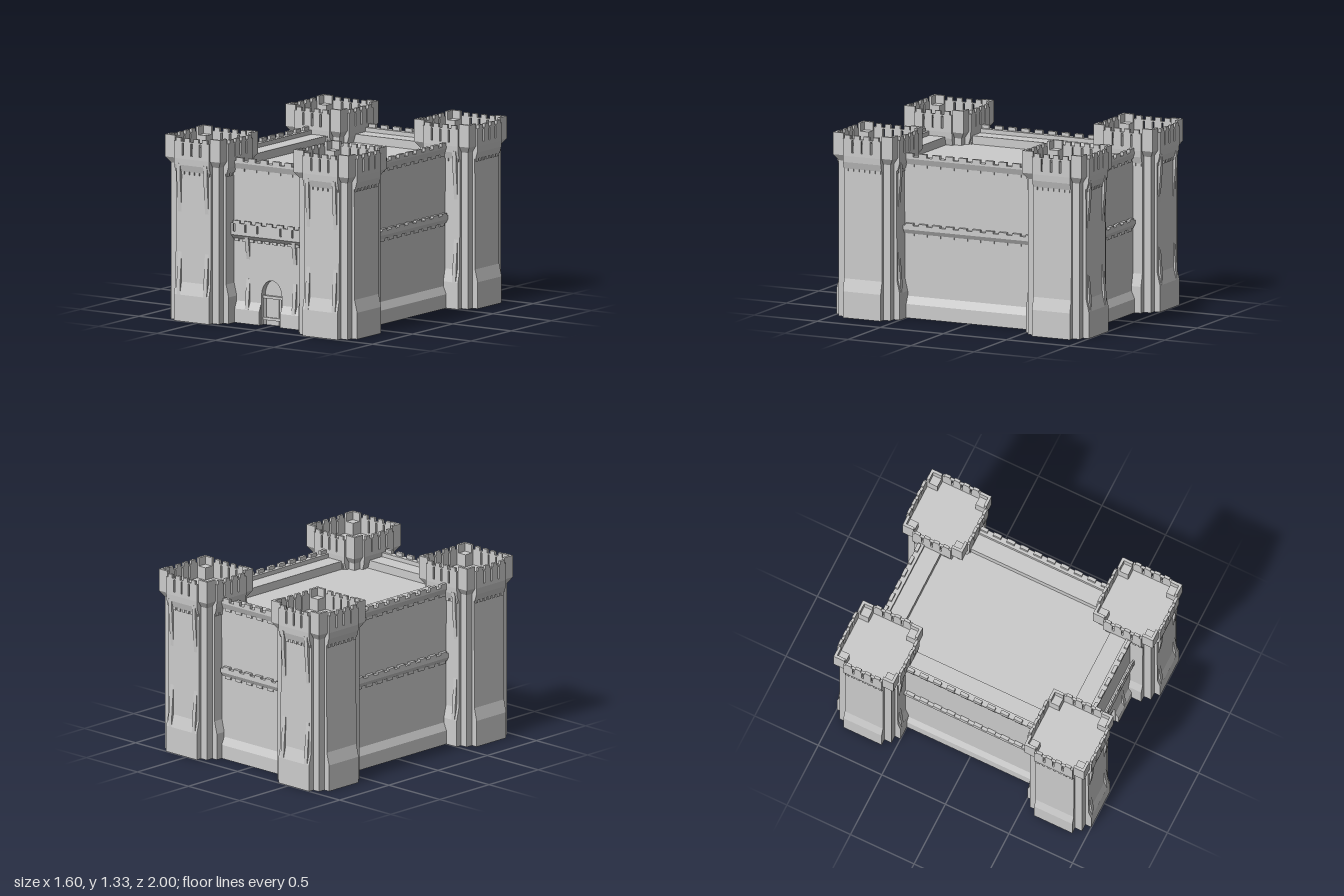
import * as THREE from 'three';

const mat = new THREE.MeshStandardMaterial({ color: 0xcccccc, flatShading: true });
const shellMat = new THREE.MeshStandardMaterial({ color: 0xcccccc, flatShading: true, side: THREE.DoubleSide });

function add(parent, name, geo, x = 0, y = 0, z = 0, m = mat) {
  const mesh = new THREE.Mesh(geo, m);
  mesh.name = name;
  mesh.position.set(x, y, z);
  parent.add(mesh);
  return mesh;
}

const box = (parent, name, w, h, d, x, y, z) => add(parent, name, new THREE.BoxGeometry(w, h, d), x, y, z);

const shapeOf = pts => new THREE.Shape(pts.map(p => new THREE.Vector2(p[0], p[1])));

// Profile of [depth, height] points swept sideways; depth points to +z
function prism(pts, width) {
  const g = new THREE.ExtrudeGeometry(shapeOf(pts), { depth: width, bevelEnabled: false });
  return g.translate(0, 0, -width / 2).rotateY(-Math.PI / 2);
}

// Upright panel with merlons on top and slits cut through
function crenelPanel(w, y0, notch, top, n, slits, slitW, s0, s1, t) {
  const pts = [[-w / 2, y0], [w / 2, y0], [w / 2, notch]];
  const step = w / n;
  for (let i = n - 1; i >= 0; i--) {
    const c = -w / 2 + (i + 0.5) * step, h = step * 0.29;
    pts.push([c + h, notch], [c + h, top], [c - h, top], [c - h, notch]);
  }
  pts.push([-w / 2, notch]);
  const shape = shapeOf(pts);
  for (const x of slits) {
    const a = x - slitW / 2, b = x + slitW / 2;
    shape.holes.push(new THREE.Path([[a, s0], [a, s1], [b, s1], [b, s0]].map(p => new THREE.Vector2(...p))));
  }
  return new THREE.ExtrudeGeometry(shape, { depth: t, bevelEnabled: false });
}

// Small blocks hanging under a corbel
function teeth(parent, w, n, y, h, z, d) {
  for (let i = 0; i < n; i++) {
    box(parent, 'corbelTooth', w / n * 0.55, h, d, -w / 2 + (i + 0.5) * w / n, y + h / 2, z - d / 2);
  }
}

// Corbelled course with merlons, running across a wall
function course(parent, name, w, out, yb, ys, notch, top, n) {
  const wall = out - 0.025, y1 = yb + 0.018;
  add(parent, name + 'Corbel', prism([[wall - 0.02, y1], [wall + 0.008, y1], [out, ys], [out, notch], [wall - 0.02, notch]], w));
  teeth(parent, w, n, yb, 0.02, wall + 0.008, 0.02);
  add(parent, name + 'Merlons', crenelPanel(w, notch - 0.01, notch, top, n, [], 0, 0, 0, 0.025), 0, 0, out - 0.025);
}

// Stepped cross plan: arms 0.30 wide around a square core
function plan(arm, core) {
  const pts = [], h = 0.15;
  const quarter = [[arm, -h], [arm, h], [core, h], [core, core], [h, core]];
  for (let k = 0; k < 4; k++) {
    for (const [x, z] of quarter) {
      pts.push([[x, z], [-z, x], [-x, -z], [z, -x]][k]);
    }
  }
  return pts;
}

function shaftGeometry(levels) {
  const pos = [], idx = [];
  for (const [y, arm, core] of levels) for (const [x, z] of plan(arm, core)) pos.push(x, y, z);
  const n = 20;
  for (let r = 0; r < levels.length - 1; r++) {
    for (let i = 0; i < n; i++) {
      const a = r * n + i, b = r * n + (i + 1) % n;
      idx.push(a, a + n, b, b, a + n, b + n);
    }
  }
  const g = new THREE.BufferGeometry();
  g.setAttribute('position', new THREE.Float32BufferAttribute(pos, 3));
  g.setIndex(idx);
  g.computeVertexNormals();
  return g;
}

function createTower() {
  const tower = new THREE.Group();
  tower.name = 'tower';
  const floorY = 1.175;
  add(tower, 'shaft', shaftGeometry([
    [0, 0.25, 0.205], [0.19, 0.25, 0.205], [0.28, 0.228, 0.205], [1.072, 0.225, 0.205],
    [1.072, 0.233, 0.205], [1.12, 0.247, 0.205], [1.165, 0.25, 0.235], [floorY, 0.25, 0.235]
  ]), 0, 0, 0, shellMat);
  add(tower, 'floor', new THREE.ShapeGeometry(shapeOf(plan(0.25, 0.235))).rotateX(-Math.PI / 2), 0, floorY, 0, shellMat);

  for (let k = 0; k < 4; k++) {
    const side = new THREE.Group();
    side.name = 'towerSide';
    side.rotation.y = k * Math.PI / 2;
    tower.add(side);
    // Parapet with arrow slits
    add(side, 'parapet', crenelPanel(0.3, floorY, 1.29, 1.315, 4, [-0.073, 0, 0.073], 0.014, 1.19, 1.28, 0.02), 0, 0, 0.23);
    teeth(side, 0.3, 7, 1.052, 0.022, 0.233, 0.02);
    // Taller corner parapet around a raised platform
    const corner = [[0.15, 0.235], [0.15, 0.215], [0.215, 0.215], [0.215, 0.15], [0.235, 0.15], [0.235, 0.235]];
    const g = new THREE.ExtrudeGeometry(shapeOf(corner), { depth: 1.325 - floorY, bevelEnabled: false });
    add(side, 'cornerParapet', g.rotateX(-Math.PI / 2), 0, floorY, 0);
    box(side, 'cornerPlatform', 0.065, 0.09, 0.065, 0.1825, floorY + 0.045, 0.1825);
    // Tapering ribs on the front and back faces
    if (k % 2 === 0) {
      for (const x of [-0.115, 0.115]) {
        add(side, 'lowerRib', prism([[0.22, 0.19], [0.25, 0.19], [0.244, 0.3], [0.226, 0.51], [0.22, 0.51]], 0.03), x);
        add(side, 'upperRib', prism([[0.22, 0.78], [0.226, 0.78], [0.244, 1], [0.249, 1.13], [0.22, 1.13]], 0.03), x);
      }
    }
  }
  return tower;
}

// Wall section: battered foot, face, wall walk and inner edge
const wallProfile = out => {
  const f = out - 0.025;
  return [[f - 0.05, 0], [out, 0], [out, 0.1], [f, 0.155], [f, 1.13], [out - 0.17, 1.13], [out - 0.17, 1.07], [f - 0.05, 1.07]];
};

// Arched outline of the gateway
function arch(path, h, spring, top) {
  path.moveTo(h, 0);
  path.lineTo(h, spring);
  path.bezierCurveTo(h, spring + 0.07, h * 0.5, top, 0, top);
  path.bezierCurveTo(-h * 0.5, top, -h, spring + 0.07, -h, spring);
  path.lineTo(-h, 0);
  return path;
}

function createFrontWall(wall) {
  const out = 0.825, face = 0.8;
  for (const s of [-1, 1]) {
    add(wall, 'wallHalf', prism(wallProfile(out), 0.36), s * 0.27);
    // Tapering ribs beside the gate
    add(wall, 'lowerRib', prism([[0.79, 0.1], [0.824, 0.1], [0.815, 0.2], [0.801, 0.32], [0.79, 0.32]], 0.03), s * 0.2);
    add(wall, 'upperRib', prism([[0.79, 0.46], [0.801, 0.46], [0.815, 0.54], [0.825, 0.62], [0.79, 0.62]], 0.03), s * 0.2);
  }
  // Gateway
  const surround = arch(new THREE.Shape(), 0.087, 0.21, 0.325);
  surround.lineTo(-0.09, 0);
  surround.lineTo(-0.09, 1.13);
  surround.lineTo(0.09, 1.13);
  surround.lineTo(0.09, 0);
  add(wall, 'gateSurround', new THREE.ExtrudeGeometry(surround, { depth: 0.05, bevelEnabled: false, curveSegments: 8 }), 0, 0, face - 0.05);
  box(wall, 'wallWalk', 0.18, 0.06, 0.12, 0, 1.1, 0.715);
  add(wall, 'gateBack', new THREE.ShapeGeometry(arch(new THREE.Shape(), 0.09, 0.21, 0.33), 8), 0, 0, 0.752, shellMat);
  for (let i = 0; i < 8; i++) box(wall, 'gatePlank', 0.02, 0.19, 0.012, -0.077 + i * 0.022, 0.095, 0.765);
  for (const y of [0.045, 0.2]) box(wall, 'gateBar', 0.174, 0.02, 0.025, 0, y, 0.77);
  // Gallery with slits
  add(wall, 'gallery', crenelPanel(0.65, 0.63, 0.715, 0.735, 7, [-0.3, -0.2, -0.1, 0.1, 0.2, 0.3], 0.016, 0.655, 0.71, 0.012), 0, 0, 0.823);
  add(wall, 'galleryCorbel', prism([[0.78, 0.6], [0.808, 0.6], [0.835, 0.63], [0.835, 0.635], [0.78, 0.635]], 0.65));
  teeth(wall, 0.65, 10, 0.585, 0.02, 0.815, 0.03);
}

export function createModel() {
  const castle = new THREE.Group();
  castle.name = 'castle';

  // Corner towers
  for (const x of [-0.55, 0.55]) for (const z of [-0.75, 0.75]) {
    const t = createTower();
    t.position.set(x, 0, z);
    castle.add(t);
  }

  // Curtain walls: front, left, back, right
  const specs = [['frontWall', 0.825, 0.62, 6], ['leftWall', 0.6, 1.06, 10], ['backWall', 0.85, 0.62, 6], ['rightWall', 0.6, 1.06, 10]];
  specs.forEach(([name, out, w, n], k) => {
    const wall = new THREE.Group();
    wall.name = name;
    wall.rotation.y = k * Math.PI / 2;
    castle.add(wall);
    if (k === 0) createFrontWall(wall);
    else {
      add(wall, 'wallBody', prism(wallProfile(out), w + 0.2));
      course(wall, 'stringCourse', w, out, 0.587, 0.635, 0.665, 0.68, n);
    }
    course(wall, 'parapet', w, out, 1.085, 1.145, 1.16, 1.185, n);
  });

  // Roof between the walls
  box(castle, 'roof', 1.1, 0.02, 1.6, 0, 1.06, -0.0125);
  return castle;
}
